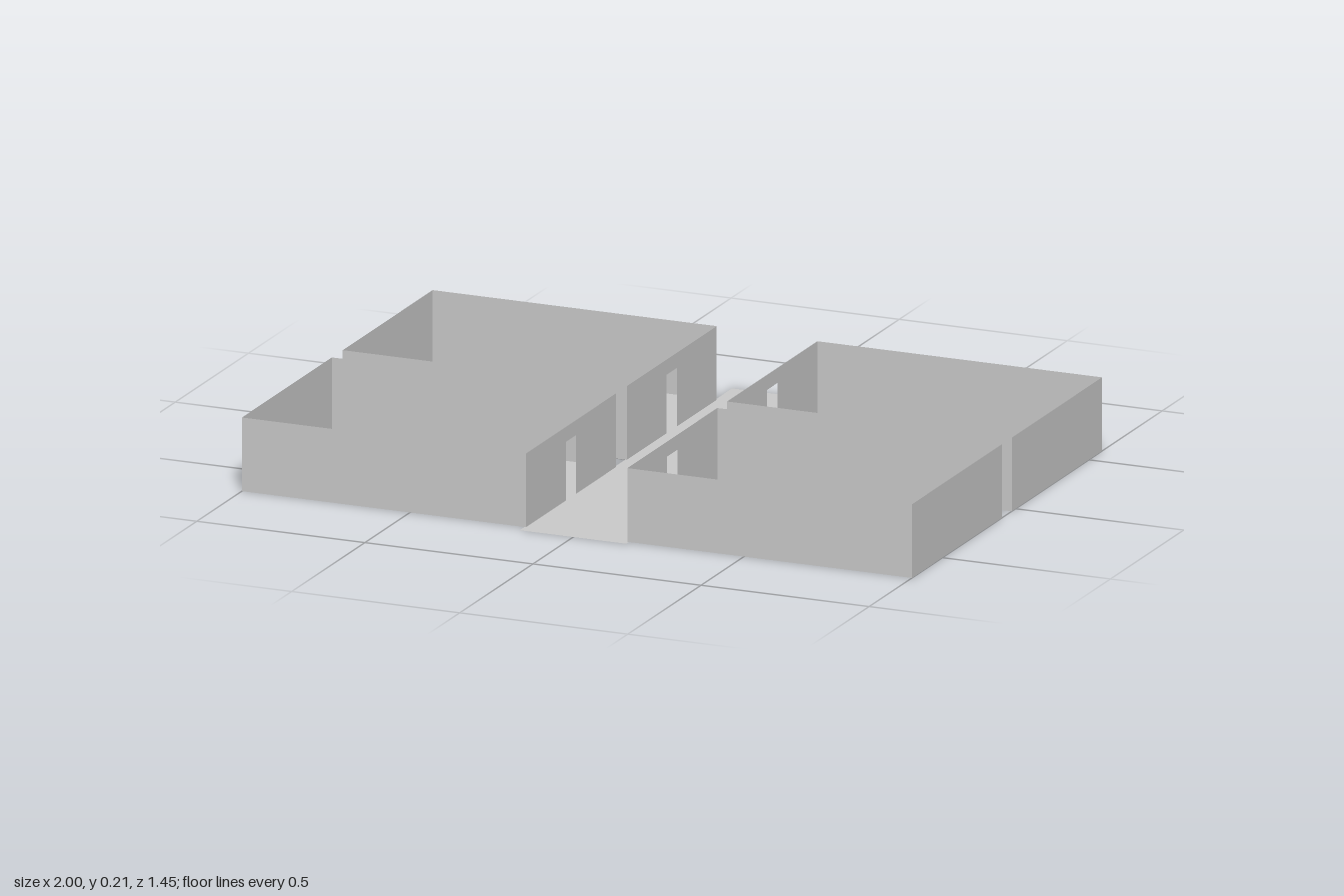
import * as THREE from 'three';

const HEIGHT = 0.21, DOOR_W = 0.07, DOOR_H = 0.167;

export function createModel() {
  const model = new THREE.Group();
  model.name = 'roomBlock';
  const material = new THREE.MeshStandardMaterial({
    color: 0xcccccc, flatShading: true, side: THREE.DoubleSide,
  });

  const add = (parent, name, geometry, x, y, z) => {
    const mesh = new THREE.Mesh(geometry, material);
    mesh.name = name;
    mesh.position.set(x, y, z);
    parent.add(mesh);
    return mesh;
  };

  // Horizontal sheet centred on its position
  const floorSheet = (w, d) => new THREE.PlaneGeometry(w, d).rotateX(-Math.PI / 2);

  // Wall facing the corridor, notched in the middle for a doorway
  const doorWall = (length) => {
    const l = length / 2, d = DOOR_W / 2;
    const outline = [[-l, 0], [-d, 0], [-d, DOOR_H], [d, DOOR_H], [d, 0], [l, 0], [l, HEIGHT], [-l, HEIGHT]];
    return new THREE.ShapeGeometry(new THREE.Shape(outline.map(([x, y]) => new THREE.Vector2(x, y))))
      .rotateY(Math.PI / 2);
  };

  // Open-topped room: inner x is the corridor side, outer x the far side
  const addRoom = (name, inner, outer, z0, z1) => {
    const room = new THREE.Group();
    room.name = name;
    const w = Math.abs(outer - inner), d = z1 - z0;
    const cx = (inner + outer) / 2, cz = (z0 + z1) / 2;
    add(room, 'floor', floorSheet(w, d), cx, 0, cz);
    add(room, 'frontWall', new THREE.PlaneGeometry(w, HEIGHT), cx, HEIGHT / 2, z1);
    add(room, 'backWall', new THREE.PlaneGeometry(w, HEIGHT).rotateY(Math.PI), cx, HEIGHT / 2, z0);
    add(room, 'outerWall', new THREE.PlaneGeometry(d, HEIGHT).rotateY(Math.sign(outer) * Math.PI / 2),
      outer, HEIGHT / 2, cz);
    add(room, 'doorWall', doorWall(d), inner, 0, cz);
    model.add(room);
  };

  addRoom('frontRightRoom', -0.155, -1, 0.078, 0.692);
  addRoom('backRightRoom', -0.155, -1, -0.61, 0.004);
  addRoom('frontLeftRoom', 0.153, 1, 0.093, 0.707);
  addRoom('backLeftRoom', 0.153, 1, -0.59, 0.026);

  // Corridor strip running front to back between the rooms
  add(model, 'corridorFloor', floorSheet(0.317, 1.45), -0.001, 0, 0);

  return model;
}
